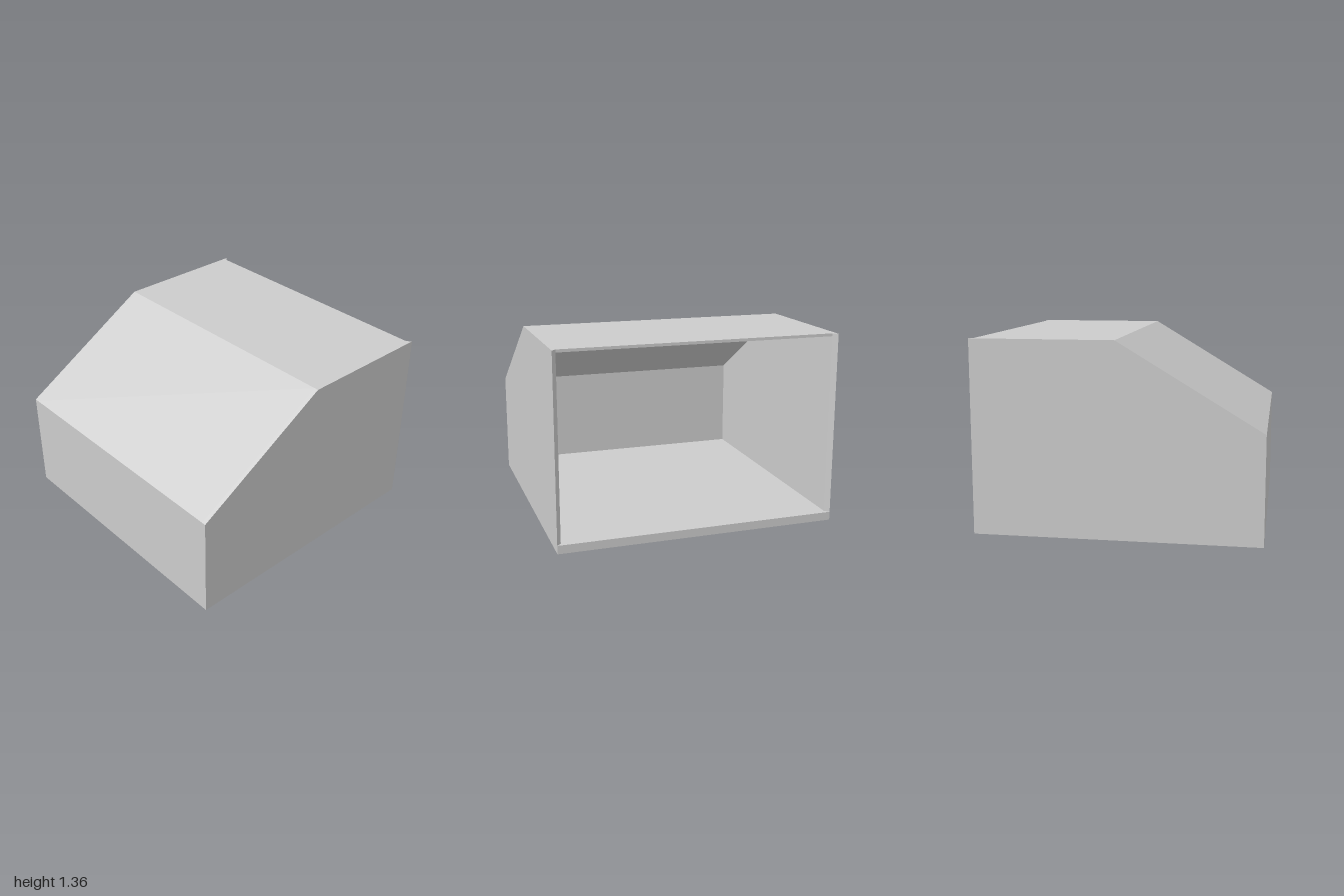
import * as THREE from 'three';

export function createModel() {
  const model = new THREE.Group();
  const grey = new THREE.MeshStandardMaterial({ color: 0xcccccc });
  grey.name = 'light grey';

  const W = 0.03;      // wall thickness
  const FLOOR = 0.06;  // floor thickness
  const TOP = 1.36;
  const EAVE = 0.76;
  const inner = 1 - W;

  function add(name, geometry) {
    const mesh = new THREE.Mesh(geometry, grey);
    mesh.name = name;
    model.add(mesh);
  }

  // Extrudes a side profile of [z, y] points across x, centred on x = cx
  function prism(points, width, cx = 0) {
    const shape = new THREE.Shape(points.map(([z, y]) => new THREE.Vector2(z, y)));
    const geometry = new THREE.ExtrudeGeometry(shape, { depth: width, bevelEnabled: false });
    return geometry.rotateY(-Math.PI / 2).translate(cx + width / 2, 0, 0);
  }

  // Floor slab
  add('floor', new THREE.BoxGeometry(2, FLOOR, 2).translate(0, FLOOR / 2, 0));

  // Side walls, with the inner face set back to bevel the open rear edge
  for (const [name, side] of [['leftWall', 1], ['rightWall', -1]]) {
    const wall = prism(
      [[-1, FLOOR], [1, FLOOR], [1, EAVE], [0, TOP], [-1, TOP]],
      W, side * (1 - W / 2));
    const p = wall.attributes.position;
    for (let i = 0; i < p.count; i++) {
      if (Math.abs(p.getX(i)) < 1 - W / 2 && p.getZ(i) < -0.99) p.setZ(i, -inner);
    }
    wall.computeVertexNormals();
    add(name, wall);
  }

  // Low front panel between the side walls
  add('frontPanel', prism(
    [[inner, FLOOR], [1, FLOOR], [1, EAVE], [inner, 0.755]], 2 * inner));

  // Thin roof: flat at the rear, sloping down to the front panel
  add('roof', prism(
    [[-inner, 1.34], [-0.005, 1.34], [inner, 0.755], [1, EAVE], [0, TOP], [-inner, TOP]],
    2 * inner));

  return model;
}
